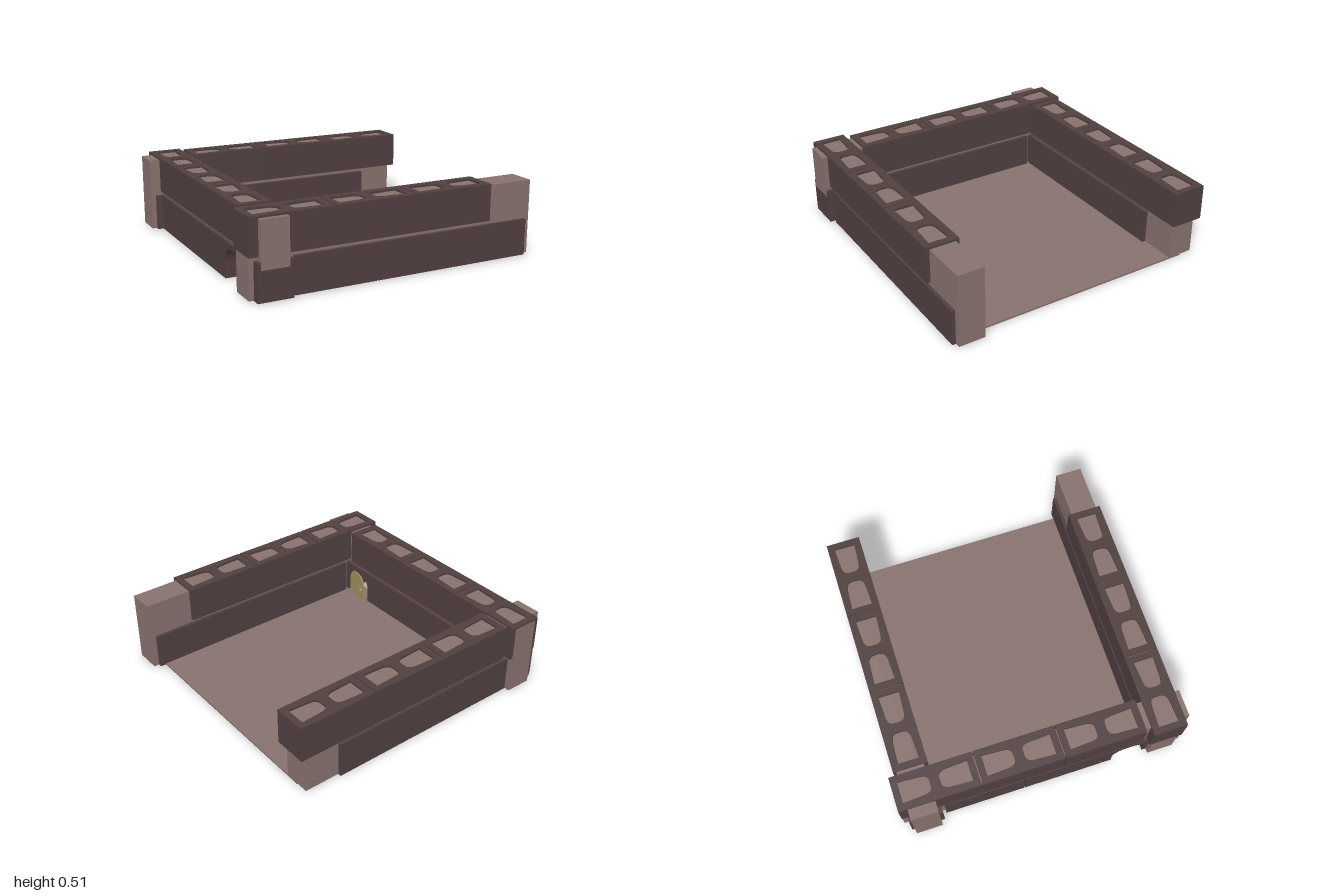
import * as THREE from 'three';

const blockMat = new THREE.MeshStandardMaterial({ color: 0x503f3f });
blockMat.name = 'dark block';
const coreMat = new THREE.MeshStandardMaterial({ color: 0x86716d });
coreMat.name = 'pale mortar';
const doorMat = new THREE.MeshStandardMaterial({ color: 0xa09460 });
doorMat.name = 'olive door';

const PITCH = 0.55, LENGTH = 0.543, WIDTH = 0.226, HEIGHT = 0.24;
const LOW = 0.006, HIGH = 0.271;

// Hollow block lying along x, centred in x and z, standing on y = 0
function blockGeometry() {
  const l = LENGTH / 2, w = WIDTH / 2;
  const shape = new THREE.Shape();
  shape.moveTo(-l, -w).lineTo(l, -w).lineTo(l, w).lineTo(-l, w).closePath();
  for (const s of [-1, 1]) {
    const hole = new THREE.Path();
    hole.moveTo(s * 0.228, -0.068);
    hole.lineTo(s * 0.08, -0.06);
    hole.quadraticCurveTo(s * 0.035, -0.055, s * 0.033, -0.022);
    hole.lineTo(s * 0.033, 0.022);
    hole.quadraticCurveTo(s * 0.035, 0.055, s * 0.08, 0.06);
    hole.lineTo(s * 0.228, 0.068);
    hole.closePath();
    shape.holes.push(hole);
  }
  const geo = new THREE.ExtrudeGeometry(shape, { depth: HEIGHT, bevelEnabled: false, curveSegments: 4 });
  return geo.rotateX(-Math.PI / 2);
}

// Arch outline from z0 to z1, up to the given height
function traceArch(path, z0, z1, base, top, r) {
  path.lineTo(z0, base);
  path.lineTo(z0, top - r);
  path.quadraticCurveTo(z0 + r * 0.15, top - r * 0.1, z0 + r, top);
  path.lineTo(z1 - r, top);
  path.quadraticCurveTo(z1 - r * 0.15, top - r * 0.1, z1, top - r);
  path.lineTo(z1, base);
}

// Side profile (z, y) extruded towards -x
function sideExtrude(shape, depth) {
  return new THREE.ExtrudeGeometry(shape, { depth, bevelEnabled: false, curveSegments: 6 }).rotateY(-Math.PI / 2);
}

export function createModel() {
  const model = new THREE.Group();
  model.name = 'blockEnclosure';

  const add = (name, geo, mat, x = 0, y = 0, z = 0, parent = model) => {
    const mesh = new THREE.Mesh(geo, mat);
    mesh.name = name;
    mesh.position.set(x, y, z);
    parent.add(mesh);
    return mesh;
  };
  const box = (name, mat, x0, x1, y0, y1, z0, z1) =>
    add(name, new THREE.BoxGeometry(x1 - x0, y1 - y0, z1 - z0), mat,
      (x0 + x1) / 2, (y0 + y1) / 2, (z0 + z1) / 2);

  // Floor slab
  box('floor', coreMat, -0.82, 0.92, 0, 0.012, -0.82, 0.82);

  // Courses of hollow blocks: start along the wall, wall centre line, count
  const geo = blockGeometry();
  const courses = [
    ['frontUpperBlock', 'x', -0.97, 0.826, HIGH, 3],
    ['frontLowerBlock', 'x', -0.685, 0.826, LOW, 3],
    ['backUpperBlock', 'x', -0.685, -0.816, HIGH, 3],
    ['backLowerBlock', 'x', -0.97, -0.816, LOW, 3],
    ['sideUpperBlock', 'z', -0.97, -0.817, HIGH, 3],
    ['sideLowerBlock', 'z', -0.685, -0.817, LOW, 2],
  ];
  for (const [name, axis, start, line, y, count] of courses) {
    for (let i = 0; i < count; i++) {
      const along = start + PITCH * (i + 0.5);
      const mesh = axis === 'x'
        ? add(name, geo, blockMat, along, y, line)
        : add(name, geo, blockMat, line, y, along);
      if (axis === 'z') mesh.rotation.y = Math.PI / 2;
    }
  }

  // Block with the small arched doorway
  const arched = new THREE.Shape();
  arched.moveTo(0.42, LOW);
  traceArch(arched, 0.482, 0.708, LOW, 0.212, 0.09);
  arched.lineTo(0.969, LOW);
  arched.lineTo(0.969, LOW + HEIGHT);
  arched.lineTo(0.42, LOW + HEIGHT);
  arched.closePath();
  add('doorwayBlock', sideExtrude(arched, WIDTH), blockMat, -0.704);

  // Mortar cores that fill the cavities and stick out at the ends
  box('frontCore', coreMat, -0.962, 1.0, 0.009, 0.497, 0.737, 0.915);
  box('backCore', coreMat, -1.0, 0.92, 0.009, 0.497, -0.908, -0.728);
  const core = new THREE.Shape();
  core.moveTo(-0.967, 0.009);
  core.lineTo(0.478, 0.009);
  core.lineTo(0.478, 0.213);
  core.lineTo(0.72, 0.213);
  core.lineTo(0.72, 0.2);
  core.lineTo(0.973, 0.2);
  core.lineTo(0.973, 0.497);
  core.lineTo(-0.967, 0.497);
  core.closePath();
  add('sideCore', sideExtrude(core, 0.18), coreMat, -0.728);

  // Door standing slightly ajar, hinged on its front edge
  const door = new THREE.Group();
  door.name = 'door';
  door.position.set(-0.718, 0.006, 0.7);
  door.rotation.y = -0.19;
  model.add(door);
  const leaf = new THREE.Shape();
  leaf.moveTo(-0.212, 0);
  traceArch(leaf, -0.212, 0, 0, 0.2, 0.085);
  leaf.closePath();
  add('doorLeaf', sideExtrude(leaf, 0.009), doorMat, 0.004, 0, 0, door);
  add('doorKnob', new THREE.SphereGeometry(0.012, 12, 8), doorMat, 0.013, 0.09, -0.178, door);

  return model;
}
